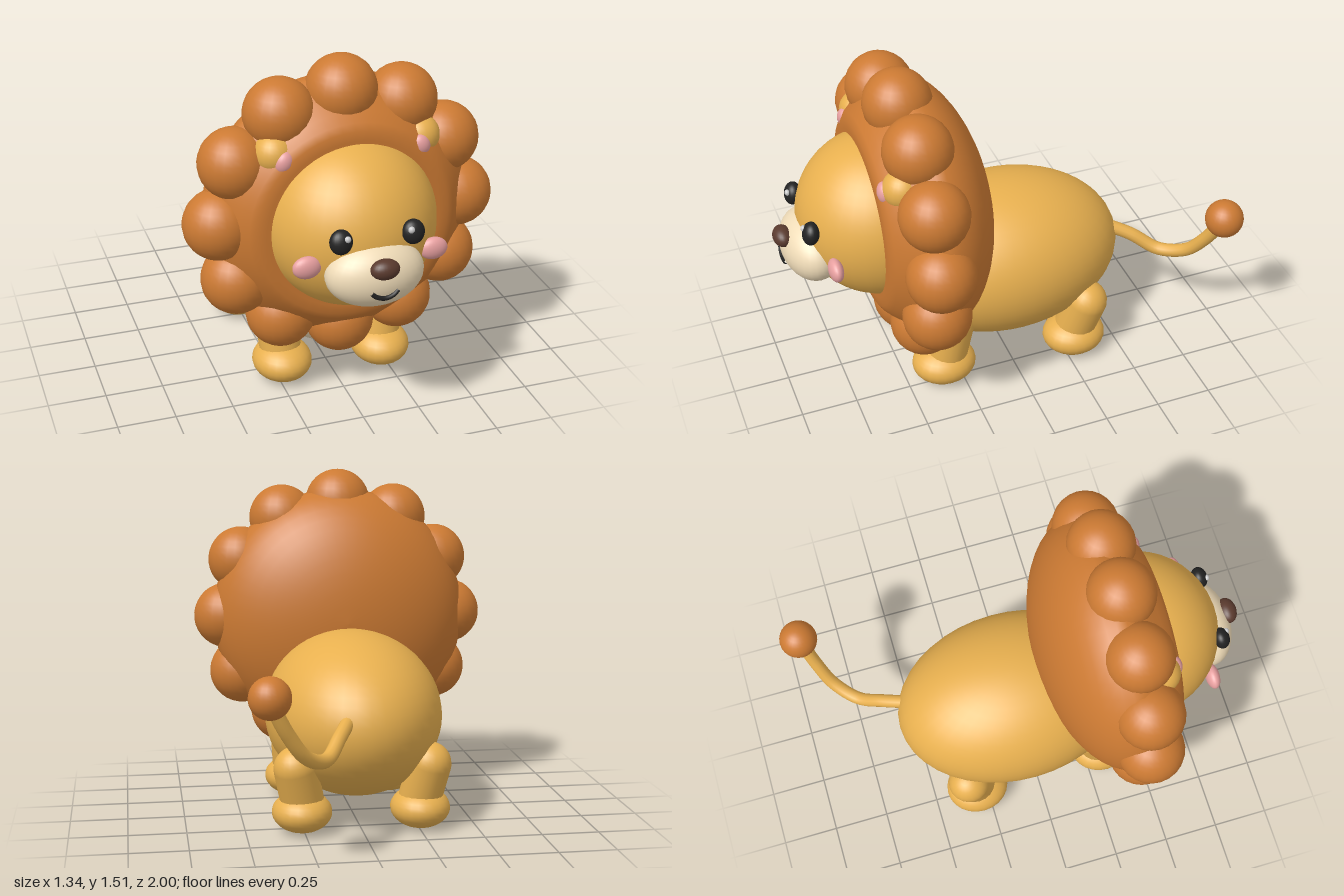
import * as THREE from 'three';

const mat = (color) => new THREE.MeshStandardMaterial({ color, roughness: 0.8 });
const gold = mat(0xe8b04f), brown = mat(0xcc7a33), cream = mat(0xf0dcb8);
const pink = mat(0xe8a0a0), dark = mat(0x222222), noseBrown = mat(0x5a3a2e), white = mat(0xffffff);
const V = (x, y, z) => new THREE.Vector3(x, y, z);

export function createModel() {
  const model = new THREE.Group();
  model.name = 'lion';

  const add = (name, geometry, material) => {
    const mesh = new THREE.Mesh(geometry, material);
    mesh.name = name;
    model.add(mesh);
    return mesh;
  };
  // Ellipsoid from centre and radii
  const blob = (name, material, [x, y, z], [rx, ry, rz], seg = 24) => {
    const mesh = add(name, new THREE.SphereGeometry(1, seg, Math.round(seg * 0.7)), material);
    mesh.position.set(x, y, z);
    mesh.scale.set(rx, ry, rz);
    return mesh;
  };
  // Round-ended limb between two points
  const limb = (name, a, b, r) => {
    const dir = b.clone().sub(a);
    const mesh = add(name, new THREE.CapsuleGeometry(r, dir.length(), 8, 20), gold);
    mesh.position.copy(a).add(b).multiplyScalar(0.5);
    mesh.quaternion.setFromUnitVectors(V(0, 1, 0), dir.normalize());
  };

  // Body and belly patch
  blob('body', gold, [0, 0.47, -0.04], [0.39, 0.36, 0.54], 40);
  blob('belly', cream, [0, 0.375, 0.2], [0.26, 0.26, 0.27], 32);

  // Mane: domed back, flattened front, turned to face +z
  const profile = [];
  for (let i = 0; i <= 12; i++) {
    const t = (i / 12) * Math.PI / 2;
    profile.push(new THREE.Vector2(0.585 * Math.sin(t), 0.4 - 0.335 * Math.cos(t)));
  }
  [[0.555, 0.46], [0.52, 0.505], [0.475, 0.555], [0.44, 0.59], [0.41, 0.607], [0.37, 0.61], [0, 0.61]]
    .forEach(([r, z]) => profile.push(new THREE.Vector2(r, z)));
  const mane = add('mane', new THREE.LatheGeometry(profile, 48), brown);
  mane.rotation.x = Math.PI / 2;
  mane.position.y = 0.843;

  // Ring of mane tufts
  for (let i = 0; i < 12; i++) {
    const a = (i / 12) * Math.PI * 2;
    blob('maneTuft', brown, [0.523 * Math.sin(a), 0.843 + 0.523 * Math.cos(a), 0.425], [0.15, 0.15, 0.148]);
  }

  // Head, muzzle and nose
  blob('head', gold, [0, 0.845, 0.525], [0.365, 0.365, 0.365], 40);
  blob('muzzle', cream, [0, 0.75, 0.84], [0.205, 0.14, 0.13], 32);
  blob('nose', noseBrown, [0, 0.818, 0.957], [0.06, 0.042, 0.042]);

  // Smile
  const smile = new THREE.CatmullRomCurve3([
    V(-0.055, 0.722, 0.96), V(-0.035, 0.704, 0.963), V(0, 0.694, 0.964), V(0.035, 0.704, 0.963), V(0.055, 0.722, 0.96),
  ]);
  add('mouth', new THREE.TubeGeometry(smile, 20, 0.01, 8), dark);

  // Paired parts
  for (const s of [1, -1]) {
    const side = s > 0 ? 'left' : 'right';
    blob(side + 'Ear', gold, [s * 0.31, 1.165, 0.51], [0.085, 0.085, 0.085]);
    const inner = blob(side + 'InnerEar', pink, [s * 0.29, 1.15, 0.58], [0.039, 0.047, 0.032]);
    inner.rotation.z = -s * 0.4 + (s > 0 ? 0.8 : -0.8);
    const eye = blob(side + 'Eye', dark, [s * 0.15, 0.915, 0.866], [0.047, 0.051, 0.036]);
    eye.rotation.x = -0.2;
    blob(side + 'EyeHighlight', white, [s * 0.132, 0.936, 0.892], [0.014, 0.014, 0.012], 12);
    blob(side + 'Cheek', pink, [s * 0.267, 0.79, 0.8], [0.06, 0.048, 0.031]);

    limb(side + 'FrontLeg', V(s * 0.23, 0.13, 0.315), V(s * 0.245, 0.33, 0.28), 0.092);
    blob(side + 'FrontFoot', gold, [s * 0.228, 0.093, 0.328], [0.13, 0.089, 0.145]);
    limb(side + 'BackLeg', V(s * 0.255, 0.13, -0.3), V(s * 0.29, 0.295, -0.34), 0.094);
    blob(side + 'BackFoot', gold, [s * 0.258, 0.093, -0.296], [0.13, 0.089, 0.145]);
  }

  // Tail with round tuft
  const tail = new THREE.CatmullRomCurve3([
    V(0.08, 0.54, -0.5), V(0.14, 0.49, -0.62), V(0.21, 0.425, -0.73),
    V(0.3, 0.46, -0.82), V(0.38, 0.57, -0.873), V(0.45, 0.71, -0.912),
  ]);
  add('tail', new THREE.TubeGeometry(tail, 40, 0.03, 12), gold);
  blob('tailTuft', brown, [0.45, 0.722, -0.915], [0.085, 0.085, 0.085]);

  return model;
}
